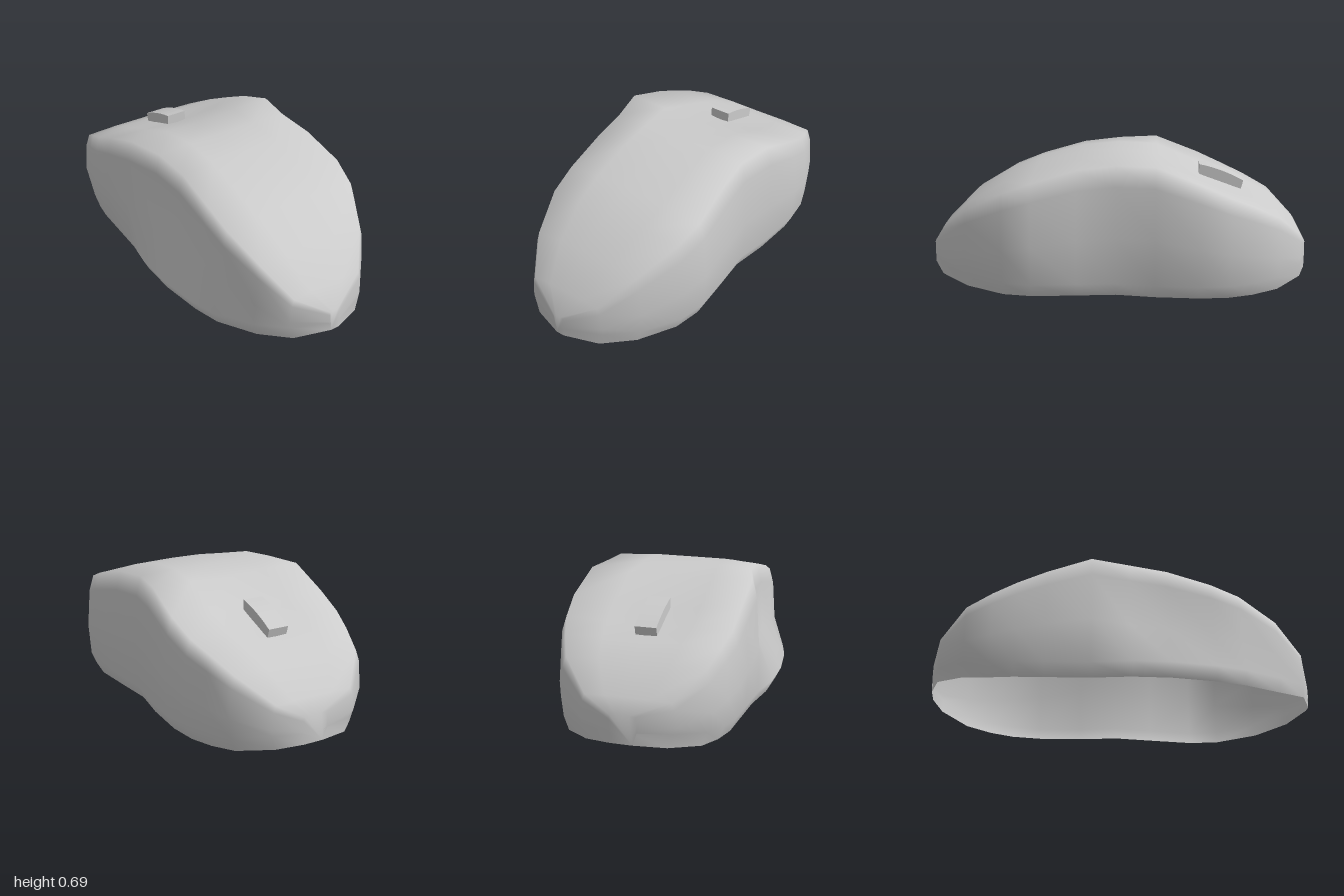
import * as THREE from 'three';

const material = new THREE.MeshStandardMaterial({ color: 0xcccccc, side: THREE.DoubleSide });

// Sections along the body: z, edge height, +x half-width, -x half-width, -x foot
const STATIONS = [
  [-1.0, 0.2, 0.07, 0.07, 0.05],
  [-0.96, 0.275, 0.22, 0.25, 0.22],
  [-0.83, 0.405, 0.375, 0.39, 0.36],
  [-0.7, 0.475, 0.435, 0.43, 0.41],
  [-0.58, 0.53, 0.48, 0.458, 0.44],
  [-0.43, 0.6, 0.5, 0.463, 0.45],
  [-0.2, 0.69, 0.485, 0.465, 0.465],
  [0, 0.69, 0.45, 0.41, 0.5],
  [0.2, 0.668, 0.47, 0.395, 0.505],
  [0.43, 0.6, 0.49, 0.395, 0.478],
  [0.58, 0.54, 0.46, 0.385, 0.44],
  [0.78, 0.425, 0.35, 0.32, 0.33],
  [0.93, 0.28, 0.215, 0.22, 0.21],
  [1.0, 0.17, 0.03, 0.03, 0.02],
];

// The rim lifts towards both ends
const rimHeight = (z) => 0.055 * Math.max(0, (Math.abs(z) - 0.6) / 0.4) ** 2;

// The centre line sinks around the wheel and crowns slightly over the palm
const centreDip = (z) =>
  0.045 * Math.exp(-(((z + 0.38) / 0.28) ** 2)) - 0.015 * Math.exp(-(((z - 0.6) / 0.25) ** 2));

// One wall of a section, from the rim up to the top near the centre
function wall(side, h, b, dip, mid, foot) {
  const r = h - b;
  return [
    [foot * 0.93, b],
    [foot, b + Math.min(0.07, r * 0.4)],
    [mid, b + r * 0.45],
    [mid * 0.965, b + r * 0.83],
    [mid * 0.91, h - r * 0.02],
    [mid * 0.46, h - dip * 0.6],
  ].map(([x, y]) => [x * side, y]);
}

function shellGeometry() {
  const sections = STATIONS.map(([z, h, right, left, leftFoot]) => {
    const b = rimHeight(z), dip = centreDip(z);
    return [
      ...wall(-1, h, b, dip, left, leftFoot),
      [0, h - dip],
      ...wall(1, h, b, dip, right, right * 0.97).reverse(),
    ].map(([x, y]) => [x, y, z]);
  });
  const n = sections[0].length, last = (sections.length - 1) * n;
  const index = [];
  // Skin between sections
  for (let i = 0; i < last; i += n) {
    for (let a = i; a < i + n - 1; a++) {
      index.push(a, a + n, a + 1, a + 1, a + n, a + n + 1);
    }
  }
  // Close the two narrow ends
  for (let j = 1; j < n - 1; j++) {
    index.push(0, j, j + 1, last, last + j + 1, last + j);
  }
  const g = new THREE.BufferGeometry();
  g.setAttribute('position', new THREE.Float32BufferAttribute(sections.flat(2), 3));
  g.setIndex(index);
  g.computeVertexNormals();
  return g;
}

// Curved wheel segment rising through the top, profile in (z, y)
function wheelGeometry() {
  const s = new THREE.Shape();
  s.moveTo(-0.43, 0.53);
  s.lineTo(-0.43, 0.612);
  s.quadraticCurveTo(-0.55, 0.588, -0.665, 0.525);
  s.lineTo(-0.65, 0.47);
  s.closePath();
  const g = new THREE.ExtrudeGeometry(s, { depth: 0.11, bevelEnabled: false, curveSegments: 6 });
  g.rotateY(-Math.PI / 2); // profile x becomes z, depth runs along -x
  g.translate(0.05, 0, 0);
  return g;
}

export function createModel() {
  const model = new THREE.Group();
  model.name = 'computerMouse';

  // Hollow shell, open underneath
  const shell = new THREE.Mesh(shellGeometry(), material);
  shell.name = 'shell';

  const wheel = new THREE.Mesh(wheelGeometry(), material);
  wheel.name = 'scrollWheel';

  model.add(shell, wheel);
  return model;
}
